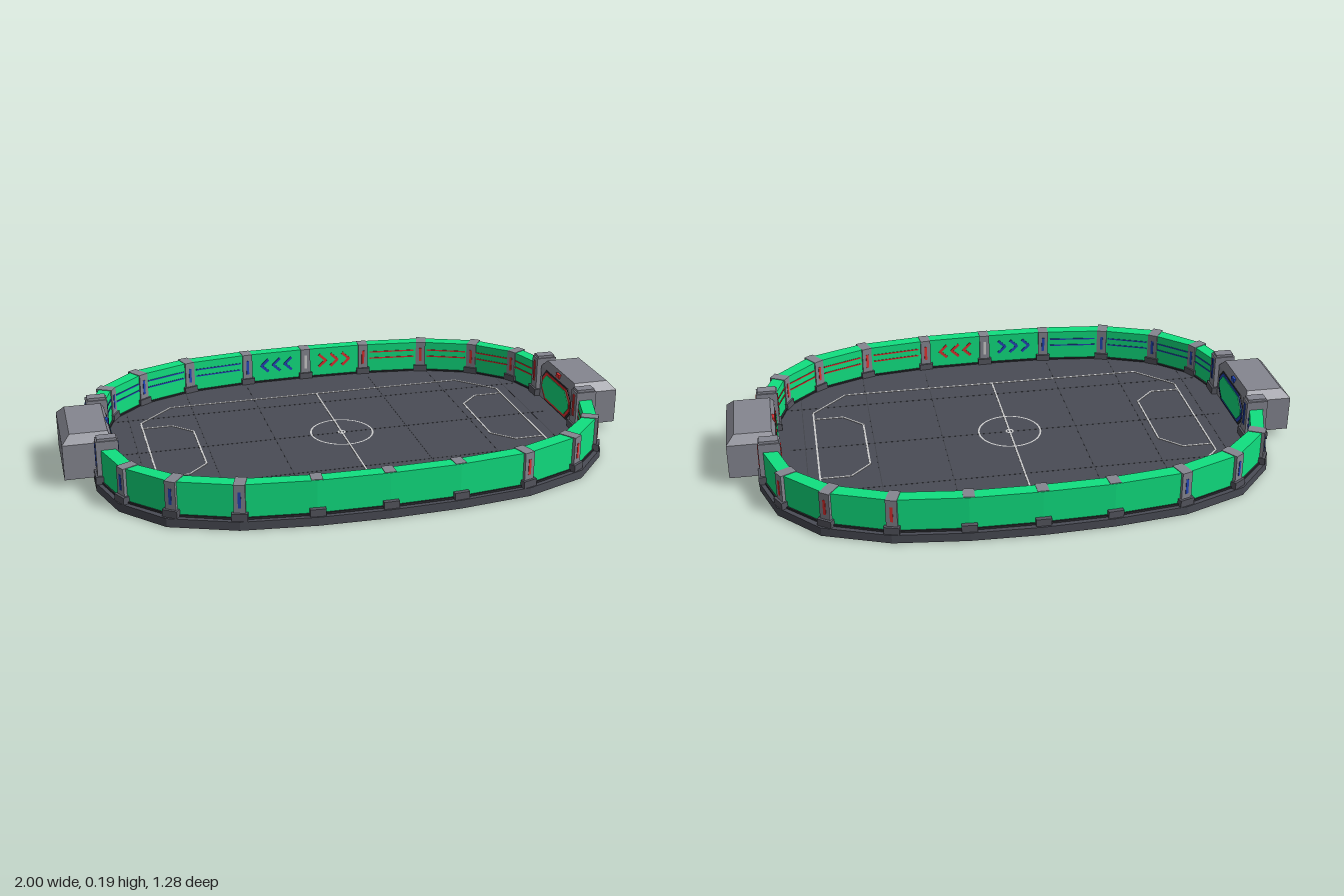
import * as THREE from 'three';
import { ConvexGeometry } from 'three/addons/geometries/ConvexGeometry.js';

const mat = (color) => new THREE.MeshStandardMaterial({ color, flatShading: true });
const M = {
  floor: mat(0x4a4c55), dark: mat(0x2b2c31), foot: mat(0x55565f), grey: mat(0x858690),
  green: mat(0x10e080), line: mat(0xc8c8c8), red: mat(0xe03030), blue: mat(0x2346b8),
  seam: mat(0x40424a),
};
const teamMat = (x) => (x < 0 ? M.blue : M.red);

// Right-hand halves of the outlines [x, z], from the centre towards the goal
const baseHalf = [[0, 0.64], [0.24, 0.632], [0.49, 0.602], [0.71, 0.518], [0.845, 0.37], [0.9, 0.2]];
const outerHalf = [[0, 0.618], [0.24, 0.612], [0.485, 0.583], [0.69, 0.503], [0.828, 0.36], [0.88, 0.2]];
const innerHalf = [[0, 0.573], [0.236, 0.567], [0.47, 0.537], [0.66, 0.46], [0.787, 0.338], [0.835, 0.185]];

// Full chain from -x to +x on one side of the pitch
const chain = (half, side) => [
  ...half.slice(1).reverse().map(([x, z]) => [-x, z * side]),
  ...half.map(([x, z]) => [x, z * side]),
];
const closed = (half) => [...chain(half, -1), ...chain(half, 1).reverse()];
const grow = (half, d) => half.map(([x, z]) => {
  const l = Math.hypot(x * 0.6, z);
  return [x + (d * x * 0.6) / l, z + (d * z) / l];
});

function add(parent, name, geometry, material) {
  const mesh = new THREE.Mesh(geometry, material);
  mesh.name = name;
  parent.add(mesh);
  return mesh;
}

function box(parent, name, material, w, h, d, x, y, z) {
  const mesh = add(parent, name, new THREE.BoxGeometry(w, h, d), material);
  mesh.position.set(x, y, z);
  return mesh;
}

// Vertical prism over a ground outline
function prism(parent, name, material, pts, y0, y1) {
  const shape = new THREE.Shape(pts.map(([x, z]) => new THREE.Vector2(x, -z)));
  const geo = new THREE.ExtrudeGeometry(shape, { depth: y1 - y0, bevelEnabled: false });
  return add(parent, name, geo.rotateX(-Math.PI / 2).translate(0, y0, 0), material);
}

// Thin bar joining two ground points
function bar(parent, name, material, [ax, az], [bx, bz], y, h, w) {
  const m = box(parent, name, material, Math.hypot(bx - ax, bz - az), h, w, (ax + bx) / 2, y, (az + bz) / 2);
  m.rotation.y = -Math.atan2(bz - az, bx - ax);
  return m;
}

function path(parent, name, pts) {
  for (let i = 0; i + 1 < pts.length; i++) bar(parent, name, M.line, pts[i], pts[i + 1], 0.0325, 0.002, 0.006);
}

function buildPitch() {
  const g = new THREE.Group();
  g.name = 'pitch';
  prism(g, 'base', M.floor, closed(baseHalf), 0, 0.03);
  prism(g, 'floor', M.floor, closed(innerHalf), 0.03, 0.032);
  // Panel seams
  for (const x of [-0.735, -0.49, -0.245, 0.245, 0.49, 0.735]) {
    const z = Math.abs(x) > 0.7 ? 0.38 : 0.52;
    bar(g, 'floorSeam', M.seam, [x, -z], [x, z], 0.0321, 0.001, 0.003);
  }
  for (const z of [-0.3, 0, 0.3]) bar(g, 'floorSeam', M.seam, [-0.79, z], [0.79, z], 0.0321, 0.001, 0.003);
  // Painted lines
  path(g, 'boundaryLine', [[-0.695, -0.262], [-0.567, -0.39], [0.567, -0.39], [0.695, -0.262],
    [0.695, 0.262], [0.567, 0.39], [-0.567, 0.39], [-0.695, 0.262], [-0.695, -0.262]]);
  path(g, 'halfwayLine', [[0, -0.39], [0, 0.39]]);
  for (const s of [-1, 1]) {
    path(g, 'goalAreaLine', [[0.695, -0.214], [0.588, -0.214], [0.518, -0.144], [0.518, 0.144],
      [0.588, 0.214], [0.695, 0.214]].map(([x, z]) => [s * x, z]));
  }
  for (const r of [0.112, 0.012]) {
    const ring = new THREE.RingGeometry(r - 0.003, r + 0.003, 40).rotateX(-Math.PI / 2);
    add(g, 'centreCircle', ring.translate(0, 0.0337, 0), M.line);
  }
  return g;
}

function buildPost(inner, outer) {
  const g = new THREE.Group();
  g.name = 'wallPost';
  const nx = outer[0] - inner[0], nz = outer[1] - inner[1];
  g.position.set((inner[0] + outer[0]) / 2, 0, (inner[1] + outer[1]) / 2);
  g.rotation.y = Math.atan2(nx, nz);
  const half = Math.hypot(nx, nz) / 2;
  // Posts of the long straights stay inside the outer face
  const out = Math.abs(inner[0]) < 0.3 ? half - 0.002 : half + 0.006;
  const inn = half + 0.008;
  box(g, 'postBody', M.grey, 0.038, 0.122, out + inn, 0, 0.091, (out - inn) / 2);
  box(g, 'postFoot', M.foot, 0.052, 0.025, 2 * half + 0.03, 0, 0.0425, 0);
  const strip = Math.abs(inner[0]) < 0.01 ? M.line : teamMat(inner[0]);
  for (const z of [out, -inn]) box(g, 'postLight', strip, 0.01, 0.055, 0.003, 0, 0.1, z);
  return g;
}

function buildWall(side) {
  const g = new THREE.Group();
  g.name = side > 0 ? 'frontWall' : 'backWall';
  const inner = chain(innerHalf, side), outer = chain(outerHalf, side);
  prism(g, 'wallPanels', M.green, [...outer, ...inner.slice().reverse()], 0.03, 0.15);
  prism(g, 'kerb', M.dark, [...chain(grow(outerHalf, 0.005), side),
    ...chain(grow(innerHalf, -0.007), side).reverse()], 0.03, 0.037);
  const last = inner.length - 1;
  for (let i = 1; i < last; i++) g.add(buildPost(inner[i], outer[i]));
  // Stripes on the inner faces, chevrons beside the halfway post
  for (let i = 0; i < last; i++) {
    const a = inner[i], b = inner[i + 1], mid = (a[0] + b[0]) / 2;
    const at = (t) => [a[0] + (b[0] - a[0]) * t, a[1] + (b[1] - a[1]) * t];
    if (Math.abs(mid) > 0.15) {
      for (const y of [0.092, 0.118]) bar(g, 'wallStripe', teamMat(mid), at(0.12), at(0.88), y, 0.005, 0.004);
      continue;
    }
    for (const t of [0.3, 0.5, 0.7]) for (const s of [-1, 1]) {
      const [x, z] = at(t);
      const m = box(g, 'chevron', teamMat(mid), 0.04, 0.01, 0.004, x, 0.098 + s * 0.012, z);
      m.rotation.z = -s * Math.sign(mid) * 0.75;
    }
  }
  return g;
}

function buildGoal(s) {
  const g = new THREE.Group();
  g.name = s > 0 ? 'leftGoal' : 'rightGoal';
  const team = teamMat(s);
  // Housing with a sloped roof edge
  const pts = [];
  for (const z of [-1, 1]) {
    for (const x of [0.832, 1]) for (const y of [0.03, 0.155]) pts.push(new THREE.Vector3(s * x, y, z * 0.152));
    for (const x of [0.845, 0.972]) pts.push(new THREE.Vector3(s * x, 0.184, z * 0.125));
  }
  add(g, 'goalHousing', new ConvexGeometry(pts), M.grey);
  // Octagonal goal mouth: dark surround, team outline, green panel
  const mouth = (name, material, inset, x) => {
    const w = 0.135 - inset, top = 0.155 - inset, bot = 0.034 + inset, c = 0.035;
    const shape = new THREE.Shape([[-w, bot + c], [-w + c, bot], [w - c, bot], [w, bot + c], [w, top - c],
      [w - c, top], [c - w, top], [-w, top - c]].map(([z, y]) => new THREE.Vector2(z, y)));
    const geo = new THREE.ExtrudeGeometry(shape, { depth: 0.003, bevelEnabled: false });
    add(g, name, geo.rotateY(-s * Math.PI / 2).translate(s * x, 0, 0), material);
  };
  mouth('goalSurround', M.dark, 0, 0.833);
  mouth('goalOutline', team, 0.006, 0.831);
  mouth('goalPanel', M.green, 0.015, 0.829);
  box(g, 'goalLight', team, 0.012, 0.016, 0.03, s * 0.838, 0.168, 0);
  // Gate posts
  for (const z of [-0.184, 0.184]) {
    box(g, 'gatePostBody', M.grey, 0.075, 0.15, 0.048, s * 0.856, 0.105, z);
    box(g, 'gatePostCap', M.grey, 0.065, 0.01, 0.038, s * 0.856, 0.184, z);
    box(g, 'gatePostFoot', M.foot, 0.09, 0.028, 0.064, s * 0.856, 0.044, z);
    for (const x of [0.818, 0.894]) box(g, 'gatePostLight', team, 0.004, 0.082, 0.013, s * x, 0.126, z);
  }
  return g;
}

export function createModel() {
  const model = new THREE.Group();
  model.name = 'arena';
  model.add(buildPitch());
  for (const s of [-1, 1]) model.add(buildWall(s), buildGoal(s));
  return model;
}
